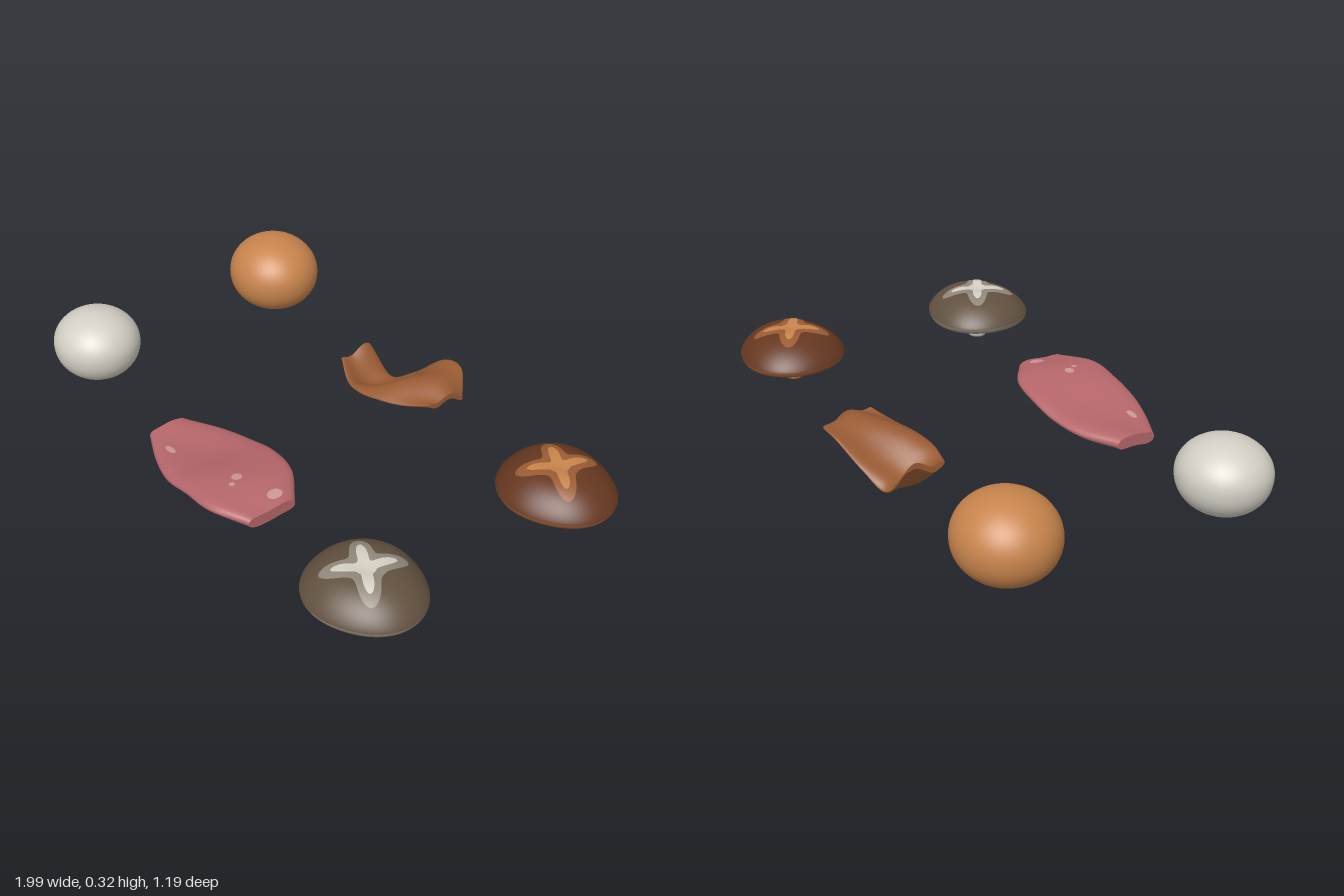
import * as THREE from 'three';
import { mergeVertices } from 'three/addons/utils/BufferGeometryUtils.js';

const mat = (name, color) => {
  const m = new THREE.MeshStandardMaterial({ color });
  m.name = name;
  return m;
};

// Revolves [radius, y] rows, then moves each vertex by a rule and smooths the result.
function revolve(rows, segments, rule) {
  let g = new THREE.LatheGeometry(rows.map(([r, y]) => new THREE.Vector2(r, y)), segments);
  g.deleteAttribute('uv');
  g.deleteAttribute('normal');
  if (rule) {
    const p = g.attributes.position;
    for (let i = 0; i < p.count; i++) {
      const x = p.getX(i), z = p.getZ(i);
      p.setXYZ(i, ...rule(Math.hypot(x, z), Math.atan2(z, x), p.getY(i)));
    }
  }
  g = mergeVertices(g, 1e-5);
  g.computeVertexNormals();
  return g;
}

const steps = (n, fn) => Array.from({ length: n + 1 }, (_, i) => fn(i / n));
const polar = (r, a, y) => [r * Math.cos(a), y, r * Math.sin(a)];

// Cap outline by angle, and cap height by fraction of that outline
const capRadius = a => 0.2 - 0.011 * Math.cos(a - 0.8) + 0.008 * Math.cos(2 * a) + 0.006 * Math.cos(3 * (a + 0.17));
const capHeight = f => 0.16 + 0.095 * Math.pow(Math.max(0, 1 - Math.pow(f, 2.6)), 0.8)
  - 0.012 * Math.exp(-((f / 0.25) ** 2));

// Four-armed marking: distance to its edge by angle
const armAngles = [30, 124, 208, 284].map(THREE.MathUtils.degToRad);
const crossRadius = (a, valley, reach, width) => valley + armAngles.reduce((sum, arm) => {
  const d = Math.atan2(Math.sin(a - arm), Math.cos(a - arm));
  return sum + reach * Math.exp(-((d / width) ** 2));
}, 0);

// Slab along x; rows are [zBack, zFront, y, tilt] at equal steps from x0 to x1.
function makeSlab(x0, x1, rows, half, wave) {
  const curve = (i, j) => new THREE.CatmullRomCurve3(
    rows.map(r => new THREE.Vector3(r[i], r[j], 0)), false, 'catmullrom', 0.5);
  const edges = curve(0, 1), heights = curve(2, 3);
  const section = x => {
    const t = (x - x0) / (x1 - x0);
    const e = edges.getPoint(t), h = heights.getPoint(t);
    return { mid: (e.x + e.y) / 2, w: (e.y - e.x) / 2, y: h.x, tilt: h.y };
  };
  // point on the skin: v runs back to front, side is +1 top or -1 underside
  const skin = (x, v, side) => {
    const s = section(x);
    const y = s.y + s.tilt * v + wave * Math.sin(3.5 * v + 12 * x)
      + side * half * Math.sqrt(Math.max(0, 1 - v ** 6));
    return [x, y, s.mid + s.w * v];
  };
  const nx = 40, nr = 36, pos = [], index = [];
  const ring = x => {
    for (let k = 0; k < nr; k++) {
      const a = (k / nr) * Math.PI * 2;
      pos.push(...skin(x, Math.cos(a), Math.sin(a) >= 0 ? 1 : -1));
    }
  };
  for (let i = 0; i <= nx; i++) ring(x0 + (x1 - x0) * i / nx);
  for (let i = 0; i < nx; i++) for (let k = 0; k < nr; k++) {
    const a = i * nr + k, c = i * nr + (k + 1) % nr;
    index.push(a, a + nr, c, c, a + nr, c + nr);
  }
  // end faces, joined straight across between top and underside
  [x0, x1].forEach((x, end) => {
    const base = pos.length / 3;
    ring(x);
    for (let k = 0; k < nr / 2; k++) {
      const a = base + k, b = base + k + 1;
      const c = base + (nr - k - 1) % nr, d = base + (nr - k) % nr;
      if (end) index.push(a, d, b, b, d, c);
      else index.push(a, b, d, b, c, d);
    }
  });
  const geometry = new THREE.BufferGeometry();
  geometry.setAttribute('position', new THREE.Float32BufferAttribute(pos, 3));
  geometry.setIndex(index);
  geometry.computeVertexNormals();
  // thin oval patch lying on the skin
  const patch = (cx, cz, rx, rz, side) => {
    const g = new THREE.CircleGeometry(1, 18);
    const p = g.attributes.position;
    for (let i = 0; i < p.count; i++) {
      const x = cx + rx * p.getX(i), z = cz - side * rz * p.getY(i);
      const s = section(x);
      const q = skin(x, (z - s.mid) / s.w, side);
      p.setXYZ(i, x, q[1] + side * 0.003, z);
    }
    g.computeVertexNormals();
    return g;
  };
  return { geometry, patch };
}

export function createModel() {
  const model = new THREE.Group();
  const cream = mat('cream', 0xd3cfc4), toasted = mat('toasted orange', 0xc8844c);
  const pink = mat('raw pink', 0xb5666a), palePink = mat('pale pink', 0xcb9694);
  const rawCap = mat('raw cap brown', 0x625140), cookedCap = mat('cooked cap brown', 0x663820);
  const taupe = mat('taupe', 0x91887a), brown = mat('cooked brown', 0x9a5c34);

  const add = (parent, name, geometry, material) => {
    const m = new THREE.Mesh(geometry, material);
    m.name = name;
    parent.add(m);
    return m;
  };

  // Balls, a little flattened below
  const ball = (name, material, z, rx, rz, bottom, mid, top) => {
    const rows = steps(28, t => [Math.sin(Math.PI * t), -Math.cos(Math.PI * t)]);
    const g = revolve(rows, 48, (r, a, y) => [
      rx * r * Math.cos(a),
      y < 0 ? mid - (mid - bottom) * Math.pow(-y, 0.93) : mid + (top - mid) * y,
      rz * r * Math.sin(a)]);
    add(model, name, g, material).position.set(-0.823, 0, z);
  };
  ball('rawBall', cream, 0.397, 0.162, 0.158, 0.05, 0.187, 0.31);
  ball('cookedBall', toasted, -0.405, 0.177, 0.17, 0.05, 0.195, 0.34);

  // Mushrooms
  const mushroom = (name, z, cap, border, light) => {
    const g = new THREE.Group();
    g.name = name;
    g.position.set(0.785, 0, z);
    const outline = (r, a, y) => polar(r * capRadius(a), a, y);
    add(g, 'cap', revolve(steps(20, t => {
      const f = Math.cos(t * Math.PI / 2);
      return [f, capHeight(f)];
    }), 64, outline), cap);
    add(g, 'capLip', revolve([[0.87, 0.145], [0.91, 0.137], [0.96, 0.141], [0.99, 0.151], [1, 0.16]], 64, outline), border);
    // underside with radial gill ripples
    add(g, 'gills', revolve([[0.1, 0.17], [0.3, 0.168], [0.5, 0.164], [0.7, 0.157], [0.87, 0.145]], 96, (r, a, y) =>
      outline(r, a, y + 0.03 * Math.cos(24 * a) * Math.max(0, r - 0.1) * (0.87 - r))), border);
    add(g, 'stem', revolve([[0, 0.045], [0.022, 0.046], [0.033, 0.051], [0.037, 0.062], [0.04, 0.1], [0.044, 0.14], [0.05, 0.175]], 32), light);
    // cross marking laid over the cap in two layers
    const marking = (label, valley, reach, width, lift, material) =>
      add(g, label, revolve(steps(12, t => [1 - t, 0]), 96, (s, a) => {
        const r = s * crossRadius(a, valley, reach, width);
        return polar(r, a, capHeight(r / capRadius(a)) + lift);
      }), material);
    marking('crossBorder', 0.062, 0.08, 0.4, 0.002, border);
    marking('crossCentre', 0.034, 0.072, 0.29, 0.005, light);
    model.add(g);
  };
  mushroom('rawMushroom', 0.4, rawCap, taupe, cream);
  mushroom('cookedMushroom', -0.4, cookedCap, brown, toasted);

  // Raw meat slice with pale flecks
  const raw = makeSlab(-0.34, 0.295, [
    [0.325, 0.475, 0.078, 0], [0.25, 0.53, 0.078, 0], [0.215, 0.565, 0.092, 0],
    [0.205, 0.567, 0.122, 0], [0.225, 0.56, 0.134, 0], [0.305, 0.49, 0.118, 0]], 0.022, 0.003);
  add(model, 'rawMeat', raw.geometry, pink);
  [[-0.205, 0.473, 0.028, 0.012, 1], [0.11, 0.41, 0.018, 0.018, 1], [0.133, 0.445, 0.01, 0.01, 1],
    [0.25, 0.355, 0.02, 0.028, 1], [0.1, 0.45, 0.03, 0.025, -1]]
    .forEach(f => add(model, 'meatFleck', raw.patch(...f), palePink));

  // Cooked meat slice, curled and twisted
  const cooked = makeSlab(-0.245, 0.195, [
    [-0.44, -0.3, 0.135, -0.005], [-0.475, -0.262, 0.052, 0.035], [-0.52, -0.25, 0.085, 0.015],
    [-0.57, -0.268, 0.145, -0.02], [-0.577, -0.305, 0.165, -0.022], [-0.51, -0.355, 0.15, 0.015]], 0.011, 0.013);
  add(model, 'cookedMeat', cooked.geometry, brown);

  return model;
}
